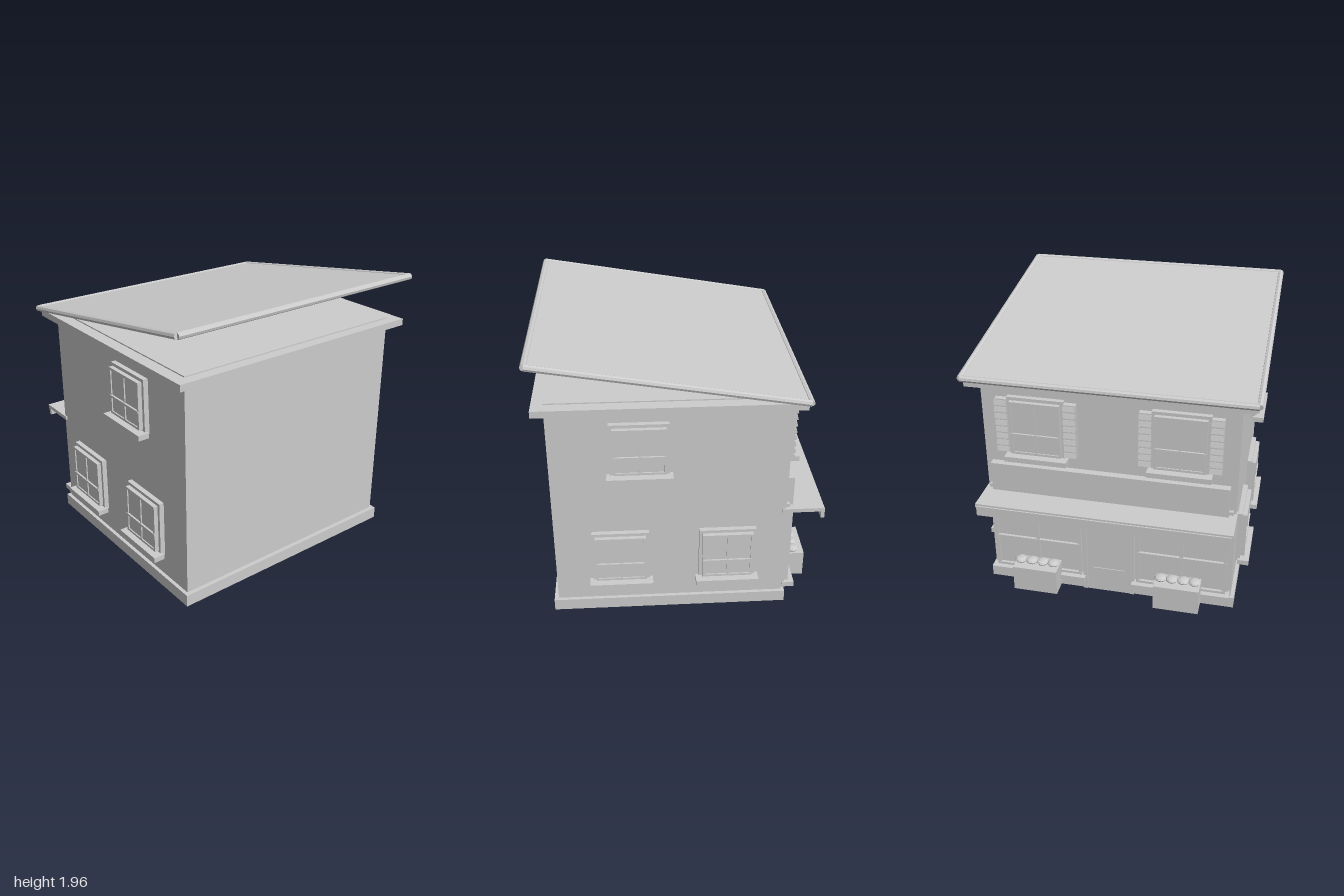
import * as THREE from 'three';

export function createModel() {
  const model = new THREE.Group();
  model.name = 'townShop';
  const clay = new THREE.MeshStandardMaterial({ color: 0xcccccc, flatShading: true });
  clay.name = 'light grey';

  const add = (parent, name, geometry, x = 0, y = 0, z = 0) => {
    const mesh = new THREE.Mesh(geometry, clay);
    mesh.name = name;
    mesh.position.set(x, y, z);
    parent.add(mesh);
    return mesh;
  };
  // Box given by its limits on each axis
  const block = (parent, name, [x0, x1], [y0, y1], [z0, z1]) =>
    add(parent, name, new THREE.BoxGeometry(x1 - x0, y1 - y0, z1 - z0),
      (x0 + x1) / 2, (y0 + y1) / 2, (z0 + z1) / 2);
  const group = (parent, name) => {
    const g = new THREE.Group();
    g.name = name;
    parent.add(g);
    return g;
  };

  // Main volume
  block(model, 'plinth', [-0.9, 0.9], [0, 0.085], [-0.735, 0.9]);
  block(model, 'walls', [-0.875, 0.875], [0.085, 1.6], [-0.71, 0.87]);
  block(model, 'cornice', [-0.96, 0.96], [1.585, 1.632], [-0.785, 0.945]);
  block(model, 'ceilingDeck', [-0.875, 0.875], [1.632, 1.64], [-0.71, 0.87]);

  // Tilted roof with a faceted rim
  const roof = group(model, 'roof');
  roof.position.set(0, 1.79, 0.08);
  roof.rotation.x = -0.167;
  const halfX = 0.978, halfZ = 0.885, rim = 0.022;
  block(roof, 'roofPanel', [-halfX, halfX], [-0.01, 0.012], [-halfZ, halfZ]);
  for (const s of [-1, 1]) {
    const side = add(roof, 'sideRim', new THREE.CylinderGeometry(rim, rim, halfZ * 2, 8), s * halfX);
    side.rotation.x = Math.PI / 2;
    const end = add(roof, 'endRim', new THREE.CylinderGeometry(rim, rim, halfX * 2, 8), 0, 0, s * halfZ);
    end.rotation.z = Math.PI / 2;
  }

  // Window facing local +z, with its sill top at y = 0
  const makeWindow = (name, w, h) => {
    const win = group(model, name);
    const a = w / 2;
    block(win, 'windowFrame', [-a, a], [-0.02, h], [-0.01, 0.035]);
    block(win, 'sash', [-a + 0.022, a - 0.022], [0.012, h - 0.022], [0.03, 0.056]);
    // Raised sash border
    for (const s of [-1, 1]) {
      const x = s * (a - 0.03);
      block(win, 'sashStile', [x - 0.008, x + 0.008], [0.012, h - 0.022], [0.05, 0.065]);
    }
    for (const y of [0.02, h - 0.03])
      block(win, 'sashRail', [-a + 0.022, a - 0.022], [y - 0.008, y + 0.008], [0.05, 0.065]);
    block(win, 'uprightBar', [-0.007, 0.007], [0.012, h - 0.022], [0.05, 0.065]);
    block(win, 'crossBar', [-a + 0.022, a - 0.022], [h * 0.38 - 0.008, h * 0.38 + 0.008], [0.05, 0.07]);
    block(win, 'sill', [-a - 0.022, a + 0.022], [-0.037, 0], [0.02, 0.1]);
    return win;
  };

  // Side windows, mirrored on both walls
  for (const s of [-1, 1]) {
    for (const [y, z] of [[1.123, 0.278], [0.267, 0.42], [0.267, -0.312]]) {
      const win = makeWindow('sideWindow', 0.39, y > 1 ? 0.367 : 0.383);
      win.position.set(s * 0.875, y, z);
      win.rotation.y = s * Math.PI / 2;
    }
  }

  // Shop side: shuttered windows above, display windows and planters below
  const shop = group(model, 'shopFacade');
  for (const s of [-1, 1]) {
    const cx = s * 0.49;
    const win = makeWindow('upperWindow', 0.39, 0.425);
    win.position.set(cx, 1.093, -0.71);
    win.rotation.y = Math.PI;

    for (const t of [-1, 1]) {
      const x = cx + t * 0.236;
      block(shop, 'shutter', [x - 0.042, x + 0.042], [1.1, 1.5], [-0.75, -0.705]);
      for (let i = 0; i < 8; i++) {
        const slat = add(shop, 'shutterSlat', new THREE.BoxGeometry(0.084, 0.034, 0.016), x, 1.126 + i * 0.05, -0.756);
        slat.rotation.x = 0.25;
      }
    }

    // Display window
    const [x0, x1] = [cx + s * 0.03 - 0.32, cx + s * 0.03 + 0.32];
    const mid = (x0 + x1) / 2;
    block(shop, 'displayGlass', [x0, x1], [0.13, 0.75], [-0.748, -0.73]);
    for (const x of [x0 + 0.012, mid, x1 - 0.012])
      block(shop, 'displayUpright', [x - 0.012, x + 0.012], [0.13, 0.75], [-0.765, -0.74]);
    for (const y of [0.145, 0.39, 0.738])
      block(shop, 'displayRail', [x0, x1], [y - 0.01, y + 0.01], [-0.768, -0.74]);
    block(shop, 'displaySill', [mid - 0.35, mid + 0.35], [0.1, 0.137], [-0.805, -0.72]);

    // Planter with four flattened blooms
    block(shop, 'planter', [s * 0.51 - 0.16, s * 0.51 + 0.16], [0.045, 0.237], [-0.91, -0.76]);
    for (let i = 0; i < 4; i++) {
      const bloom = add(shop, 'bloom', new THREE.SphereGeometry(0.045, 10, 6), s * 0.51 - 0.12 + i * 0.08, 0.26, -0.83);
      bloom.scale.y = 0.45;
    }

    block(shop, 'doorJamb', [s * 0.172 - 0.015, s * 0.172 + 0.015], [0.02, 0.75], [-0.768, -0.73]);
  }
  block(shop, 'shopBacking', [-0.86, 0.86], [0.085, 0.81], [-0.735, -0.7]);

  // Door
  block(shop, 'door', [-0.16, 0.16], [0.01, 0.75], [-0.752, -0.72]);
  block(shop, 'doorUpperPanel', [-0.115, 0.115], [0.25, 0.7], [-0.758, -0.75]);
  block(shop, 'doorLowerPanel', [-0.115, 0.115], [0.06, 0.21], [-0.758, -0.75]);

  // Awning and blank sign board
  block(shop, 'awning', [-0.885, 0.885], [0.757, 0.785], [-0.965, -0.68]);
  block(shop, 'awningLip', [-0.875, 0.875], [0.7, 0.772], [-0.975, -0.95]);
  block(shop, 'signBoard', [-0.83, 0.83], [0.785, 1.0], [-0.762, -0.7]);

  return model;
}
